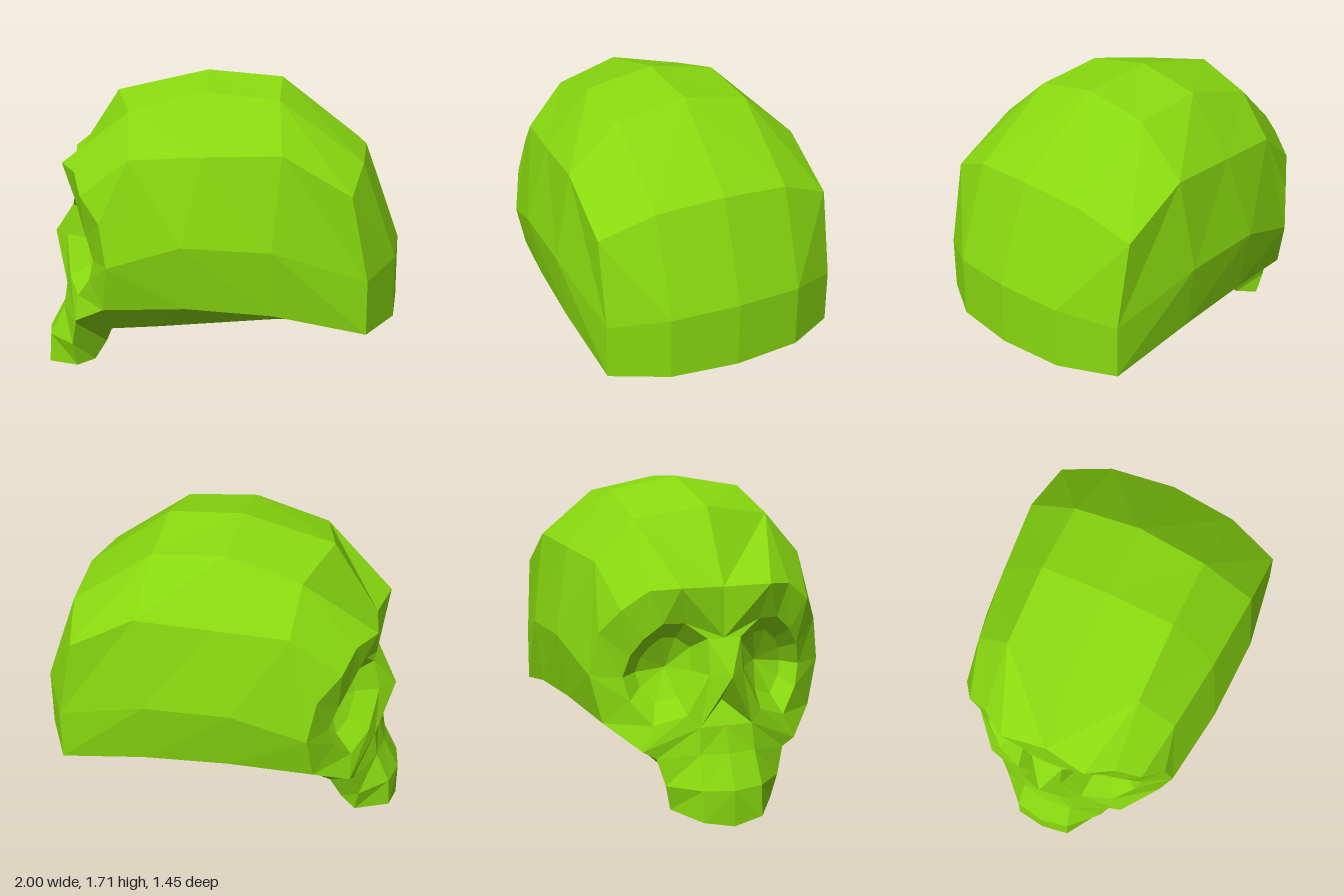
import * as THREE from 'three';

// Turns 'x y z, x y z' into a row of points
const pts = (text) => text.split(',').map((p) => new THREE.Vector3(...p.trim().split(' ').map(Number)));

// Quads between neighbouring rows of points; repeated points give triangles
function loft(rows, closed = false) {
  const tris = [];
  const add = (a, b, c) => { if (!a.equals(b) && !b.equals(c) && !a.equals(c)) tris.push([a, b, c]); };
  for (let r = 0; r + 1 < rows.length; r++) {
    const n = rows[r].length;
    for (let c = 0; c < (closed ? n : n - 1); c++) {
      const d = (c + 1) % n;
      const [p, q, s, t] = [rows[r][c], rows[r + 1][c], rows[r + 1][d], rows[r][d]];
      add(p, q, s);
      add(p, s, t);
    }
  }
  return tris;
}

// Flat-shaded mesh from one half plus its mirror image across z = 0
function mirroredMesh(name, tris, material) {
  const pos = [];
  for (const [a, b, c] of tris) {
    for (const v of [a, b, c]) pos.push(v.x, v.y, v.z);
    for (const v of [a, c, b]) pos.push(v.x, v.y, -v.z);
  }
  const geometry = new THREE.BufferGeometry();
  geometry.setAttribute('position', new THREE.Float32BufferAttribute(pos, 3));
  geometry.computeVertexNormals();
  const mesh = new THREE.Mesh(geometry, material);
  mesh.name = name;
  return mesh;
}

export function createModel() {
  const material = new THREE.MeshStandardMaterial({ color: 0x88d80f, flatShading: true });

  // Cranium: rows run front to back, from the crown round to the underside
  const dome = [
    pts('-.57 1.59 0, -.07 1.705 0, .34 1.67 0, .81 1.30 0'),
    pts('-.47 1.53 .37, -.06 1.64 .37, .33 1.60 .37, .78 1.27 .37'),
    pts('-.45 1.31 .57, -.06 1.34 .62, .35 1.36 .655, .71 1.15 .655'),
    pts('-.57 .74 .64, -.17 .88 .71, .30 .865 .725, .80 .70 .655'),
    pts('-.60 .49 .58, -.15 .53 .65, .31 .51 .68, .80 .41 .655'),
    pts('-.60 .30 .34, -.33 .34 .40, .30 .395 .40, .96 .42 .37'),
    pts('-.60 .30 0, -.33 .34 0, .30 .39 0, 1 .42 0'),
  ];
  const backPatch = [
    [dome[2][3], dome[1][3], dome[0][3]],
    [dome[3][3], ...pts('.96 .755 .37, 1 .77 0')],
    [dome[4][3], dome[5][3], dome[6][3]],
  ];

  // Face outline around one eye, then the socket rim, point for point
  const [A0, A1, A2, A3, A4, A5, A6] = dome.map((row) => row[0]);
  const upper = pts('-.83 .95 0, -.86 1.22 .24, -.77 1.20 .38, -.72 1.10 .51, -.61 .97 .60');
  const [nasion, brow, browEnd, temple, templeLow] = upper;
  const [cheek, maxilla, noseTip] = pts('-.78 .37 .42, -.87 .50 .14, -.95 .77 0');
  const outline = [...upper, A3, A4, cheek, maxilla, noseTip];
  const rim = [
    ...pts('-.83 .95 .09, -.80 1.03 .20, -.78 1.03 .31, -.74 .95 .40, -.70 .86 .46'),
    ...pts('-.66 .74 .49, -.69 .62 .46, -.77 .50 .36, -.84 .56 .20, -.87 .77 .09'),
  ];
  const socketEnd = new THREE.Vector3(-0.62, 0.77, 0.25);
  const socketWall = rim.map((p) => p.clone().lerp(socketEnd, 0.35).add(new THREE.Vector3(0.04, 0, 0)));

  // Forehead joins the brow to the front edge of the dome
  const [glabella, noseBase, noseDepth] = pts('-.82 1.21 0, -.87 .50 0, -.80 .62 0');
  const front = [glabella, brow, browEnd, temple, templeLow, A3];
  const edge = [A0, A1, A1, A2, A2, A2];
  // Rows run down the temple, so each pair goes front to back
  const forehead = loft(front.map((p, i) => [p, edge[i]]));

  const face = [
    ...loft([outline, rim, socketWall, rim.map(() => socketEnd)], true),
    [glabella, nasion, brow],
    [noseTip, noseDepth, maxilla],
    [maxilla, noseDepth, noseBase],
  ];

  // Jaw: levels from the cheek down to the chin, closed underneath
  const chin = pts('-1 0 0, -.98 .03 .16, -.80 .055 .28, -.71 .065 .20, -.71 .065 0');
  const under = new THREE.Vector3(-0.85, 0.035, 0);
  const jaw = loft([
    [noseBase, maxilla, cheek, A5, A6],
    [...pts('-.91 .36 0, -.89 .36 .15, -.79 .33 .35'), A5, A6],
    pts('-1 .19 0, -.97 .195 .16, -.82 .19 .31, -.64 .18 .21, -.64 .18 0'),
    chin,
    [chin[0], under, under, under, chin[4]],
  ]);

  const group = new THREE.Group();
  group.name = 'skull';
  group.add(
    mirroredMesh('cranium', [...loft(dome), ...loft(backPatch), ...forehead, [cheek, A5, A4]], material),
    mirroredMesh('face', face, material),
    mirroredMesh('jaw', jaw, material),
  );
  return group;
}
